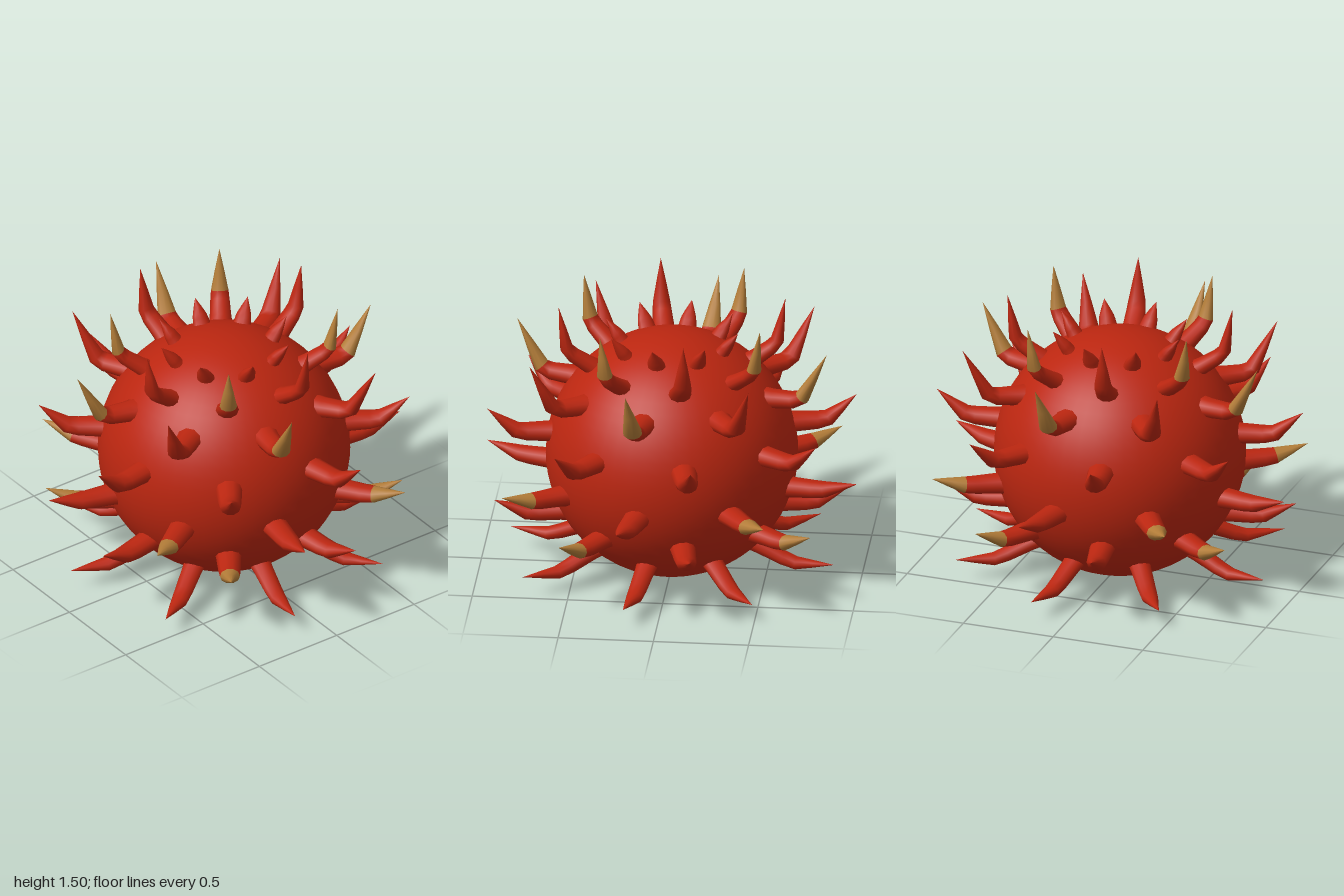
import * as THREE from 'three';

const red = new THREE.MeshStandardMaterial({ color: 0xbb2610 });
red.name = 'red skin';
const ochre = new THREE.MeshStandardMaterial({ color: 0xb27c38 });
ochre.name = 'ochre tip';

const SIDES = 10;
const RADIUS = 0.66;
const CENTER_Y = 0.655;

// Rows of eight spines, top to bottom: base, bend and tip as [distance from axis, height],
// half width, first angle in degrees, and which alternate spines have ochre tips (-1 = none)
const rows = [
  { base: [0.27, 1.24], bend: [0.30, 1.285], tip: [0.36, 1.365], width: 0.045, start: 11.25, ochreTurn: -1 },
  { base: [0.42, 1.155], bend: [0.55, 1.245], tip: [0.595, 1.495], width: 0.052, start: -11.25, ochreTurn: 1 },
  { base: [0.53, 1.02], bend: [0.70, 1.03], tip: [0.845, 1.305], width: 0.06, start: 11.25, ochreTurn: 0 },
  { base: [0.62, 0.795], bend: [0.81, 0.80], tip: [0.97, 0.935], width: 0.062, start: -11.25, ochreTurn: -1 },
  { base: [0.63, 0.53], bend: [0.82, 0.535], tip: [1.01, 0.59], width: 0.062, start: 11.25, ochreTurn: 1 },
  { base: [0.56, 0.345], bend: [0.75, 0.335], tip: [0.935, 0.415], width: 0.06, start: -11.25, ochreTurn: 1 },
  { base: [0.45, 0.19], bend: [0.66, 0.10], tip: [0.885, 0.115], width: 0.05, start: 11.25, ochreTurn: -1 },
];

// Bent spine lofted from elliptical rings; group 0 is the stem, group 1 the tip
function spineGeometry({ base, bend, tip, width }) {
  const a = new THREE.Vector2(...base);
  const b = new THREE.Vector2(...bend);
  const c = new THREE.Vector2(...tip);
  const rings = [
    [a.clone().lerp(b, -0.3), 1.35],
    [a.clone().lerp(b, 0.15), 1.1],
    [a.clone().lerp(b, 0.75), 0.98],
    [b.clone().lerp(c, 0.08), 0.88],
    [b.clone().lerp(c, 0.5), 0.5],
    [c, 0],
  ];
  const positions = [];
  const index = [];
  rings.forEach(([p, scale], i) => {
    const before = rings[Math.max(i - 1, 0)][0];
    const after = rings[Math.min(i + 1, rings.length - 1)][0];
    const t = after.clone().sub(before).normalize();
    for (let j = 0; j < SIDES; j++) {
      const angle = (j / SIDES) * Math.PI * 2;
      const across = Math.cos(angle) * width * scale;
      const up = Math.sin(angle) * width * 0.77 * scale;
      positions.push(p.x - t.y * up, p.y + t.x * up, across);
    }
  });
  for (let i = 0; i < rings.length - 1; i++) {
    for (let j = 0; j < SIDES; j++) {
      const k = (j + 1) % SIDES;
      const p = i * SIDES + j, q = i * SIDES + k;
      index.push(p, p + SIDES, q, q, p + SIDES, q + SIDES);
    }
  }
  const geometry = new THREE.BufferGeometry();
  geometry.setAttribute('position', new THREE.Float32BufferAttribute(positions, 3));
  geometry.setIndex(index);
  geometry.computeVertexNormals();
  geometry.addGroup(0, 3 * SIDES * 6, 0);
  geometry.addGroup(3 * SIDES * 6, 2 * SIDES * 6, 1);
  return geometry;
}

export function createModel() {
  const model = new THREE.Group();
  model.name = 'spinyBall';

  // Round body, slightly flattened at both poles
  const bodyGeometry = new THREE.SphereGeometry(RADIUS, 48, 32);
  const pos = bodyGeometry.attributes.position;
  for (let i = 0; i < pos.count; i++) {
    pos.setY(i, THREE.MathUtils.clamp(pos.getY(i), -CENTER_Y, CENTER_Y));
  }
  const body = new THREE.Mesh(bodyGeometry, red);
  body.name = 'body';
  body.position.y = CENTER_Y;
  model.add(body);

  // Staggered rings of upward-curving spines
  rows.forEach((row, r) => {
    const ring = new THREE.Group();
    ring.name = `spineRow${r + 1}`;
    const geometry = spineGeometry(row);
    for (let i = 0; i < 8; i++) {
      const spine = new THREE.Mesh(geometry, [red, i % 2 === row.ochreTurn ? ochre : red]);
      spine.name = 'spine';
      spine.rotation.y = -THREE.MathUtils.degToRad(row.start + i * 45);
      ring.add(spine);
    }
    model.add(ring);
  });

  return model;
}
